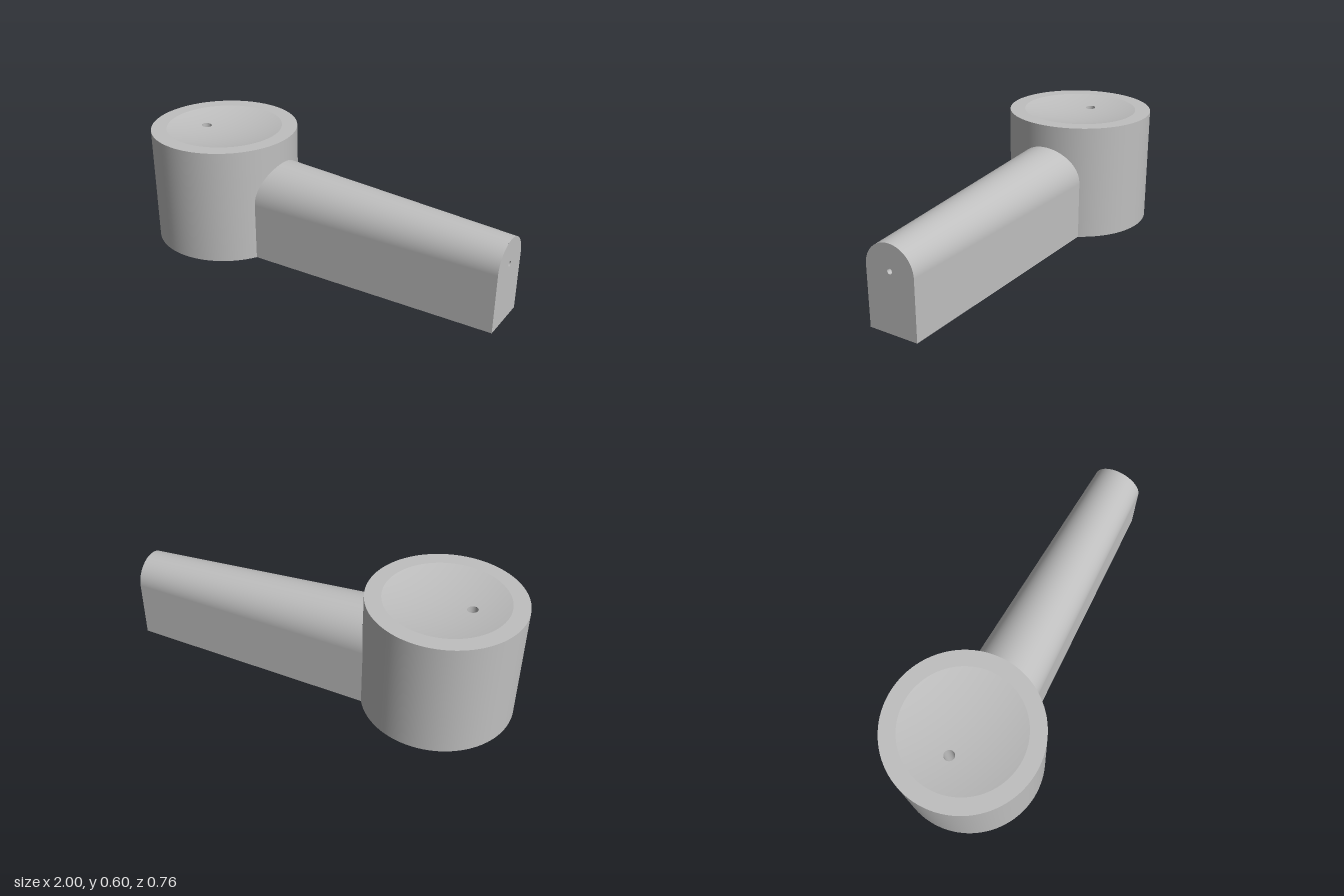
import * as THREE from 'three';
import { ParametricGeometry } from 'three/addons/geometries/ParametricGeometry.js';

const BOWL_X = -0.62, BOWL_R = 0.38, BOWL_H = 0.6;
const DISH_R = 0.3, DISH_DEPTH = 0.032;
const HOLE_X = -0.125, HOLE_R = 0.026; // top hole, relative to the bowl axis
const BORE_Y = 0.3, BORE_R = 0.013;
const SOCKET_R = 0.097;
const END_W = 0.127, TAPER = 0.0447;

const dishY = (x, z) => BOWL_H - DISH_DEPTH * (1 - (x * x + z * z) / (DISH_R * DISH_R));
const halfWidth = (x) => END_W + TAPER * (1 - x);

// x where a lengthwise line of the handle meets the round bowl wall
function bowlContact(c) {
  let x = -0.26;
  for (let i = 0; i < 8; i++) x = BOWL_X + Math.sqrt(BOWL_R ** 2 - (c * halfWidth(x)) ** 2);
  return x;
}

export function createModel() {
  const grey = new THREE.MeshStandardMaterial({ color: 0xbfbfbf });
  grey.name = 'light grey';
  const model = new THREE.Group();
  const bowl = new THREE.Group();
  bowl.name = 'bowl';
  bowl.position.x = BOWL_X;
  const handle = new THREE.Group();
  handle.name = 'handle';
  model.add(bowl, handle);

  const add = (parent, name, geometry) => {
    const mesh = new THREE.Mesh(geometry, grey);
    mesh.name = name;
    parent.add(mesh);
    return mesh;
  };
  const lathe = (points, segments = 96) =>
    new THREE.LatheGeometry(points.map(([r, y]) => new THREE.Vector2(r, y)), segments);

  // Bowl: one surface per crease so the edges stay sharp
  const dome = [];
  for (let i = 0; i <= 16; i++) {
    const a = (i / 16) * Math.PI / 2;
    dome.push([SOCKET_R * Math.sin(a), SOCKET_R * Math.cos(a)]);
  }
  add(bowl, 'bottomSocket', lathe(dome));
  add(bowl, 'bowlBase', lathe([[SOCKET_R, 0], [BOWL_R, 0]]));
  add(bowl, 'bowlWall', lathe([[BOWL_R, 0], [BOWL_R, BOWL_H]]));
  add(bowl, 'bowlRim', lathe([[BOWL_R, BOWL_H], [DISH_R, BOWL_H]]));

  // Shallow dish, blended from the off-centre hole out to the rim
  add(bowl, 'dish', new ParametricGeometry((u, v, p) => {
    const a = u * Math.PI * 2;
    const r = HOLE_R + (DISH_R - HOLE_R) * v;
    const x = HOLE_X * (1 - v) + r * Math.cos(a), z = r * Math.sin(a);
    p.set(x, dishY(x, z), z);
  }, 96, 16));

  // Vertical hole in the dish
  add(bowl, 'topHole', new ParametricGeometry((u, v, p) => {
    const a = -u * Math.PI * 2;
    const x = HOLE_X + HOLE_R * Math.cos(a), z = HOLE_R * Math.sin(a);
    p.set(x, dishY(x, z) * (1 - v) + (BORE_Y - BORE_R) * v, z);
  }, 32, 1));
  const floor = add(bowl, 'topHoleFloor', new THREE.CircleGeometry(HOLE_R, 32).rotateX(-Math.PI / 2));
  floor.position.set(HOLE_X, BORE_Y - BORE_R, 0);

  // Handle: tapered arch section running from the end face to the bowl wall
  add(handle, 'handleSkin', new ParametricGeometry((u, v, p) => {
    const a = THREE.MathUtils.clamp((u - 0.1) / 0.8, 0, 1) * Math.PI;
    const c = Math.cos(a);
    const leg = Math.min(1, u / 0.1, (1 - u) / 0.1);
    const x = 1 + (bowlContact(c) - 1) * v;
    const w = halfWidth(x);
    p.set(x, BORE_Y * leg + w * Math.sin(a), w * c);
  }, 60, 8));
  add(handle, 'handleUnderside', new ParametricGeometry((u, v, p) => {
    const c = u * 2 - 1;
    const x = 1 + (bowlContact(c) - 1) * v;
    p.set(x, 0, c * halfWidth(x));
  }, 24, 1));

  // End face with its small round opening
  const face = new THREE.Shape();
  face.moveTo(-END_W, 0);
  face.lineTo(END_W, 0);
  face.absarc(0, BORE_Y, END_W, 0, Math.PI, false);
  face.closePath();
  face.holes.push(new THREE.Path().absarc(0, BORE_Y, BORE_R, 0, Math.PI * 2, true));
  add(handle, 'handleEnd', new THREE.ShapeGeometry(face, 32).rotateY(Math.PI / 2)).position.x = 1;

  // Narrow bore along the handle, reaching the top hole
  const start = BOWL_X + HOLE_X + HOLE_R;
  const bore = add(handle, 'handleBore',
    lathe([[BORE_R, 1 - start], [BORE_R, 0]], 32).rotateZ(-Math.PI / 2));
  bore.position.set(start, BORE_Y, 0);

  return model;
}
